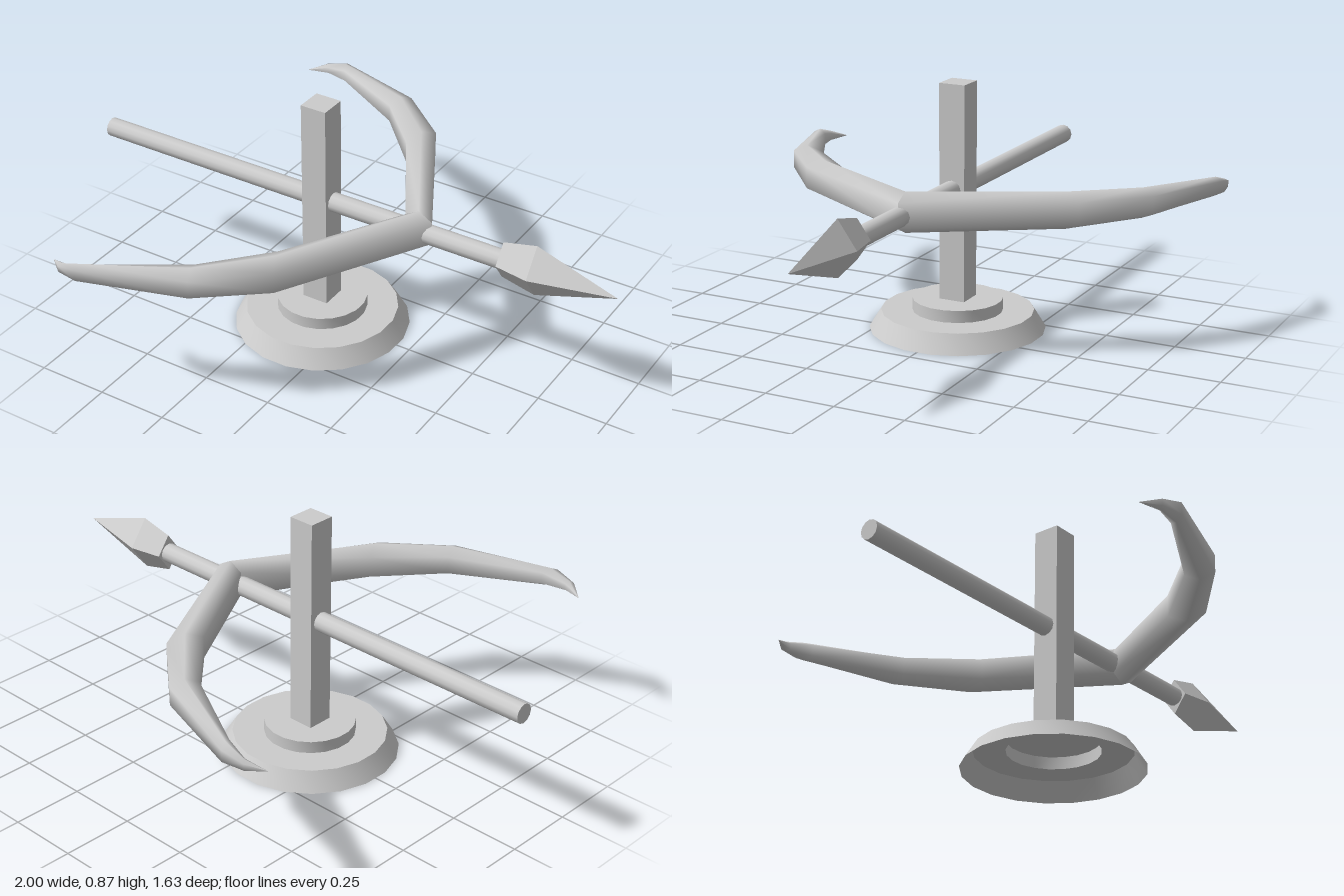
import * as THREE from 'three';
import { toCreasedNormals } from 'three/addons/utils/BufferGeometryUtils.js';

const POST_X = -0.105;
const SHAFT_Y = 0.502;

// One bow arm: hexagonal section lofted between outer and inner edge points.
// Each station: outer x, outer z, inner x, inner z, low y, high y
const ARM = [
  [0.325, 0, 0.225, 0, 0.438, 0.578],
  [0.045, 0.513, -0.01, 0.4, 0.446, 0.572],
  [-0.16, 0.69, -0.2, 0.6, 0.458, 0.562],
  [-0.515, 0.813, -0.49, 0.755, 0.473, 0.54],
  [-0.595, 0.8, -0.575, 0.775, 0.478, 0.515],
  [-0.65, 0.755, -0.65, 0.755, 0.486, 0.488],
];
const SECTION = [[1, -0.6], [1, 0.6], [0, 1], [-1, 0.6], [-1, -0.6], [0, -1]];

function armGeometry(side) {
  const pos = [], idx = [], n = SECTION.length;
  for (const [ox, oz, ix, iz, lo, hi] of ARM) {
    for (const [u, v] of SECTION) {
      const t = (u + 1) / 2;
      pos.push(ix + (ox - ix) * t, (lo + hi) / 2 + v * (hi - lo) / 2, side * (iz + (oz - iz) * t));
    }
  }
  for (let i = 0; i < ARM.length - 1; i++) {
    for (let j = 0; j < n; j++) {
      const k = (j + 1) % n;
      const a = i * n + j, b = i * n + k, c = b + n, d = a + n;
      if (side > 0) idx.push(a, b, c, a, c, d);
      else idx.push(a, c, b, a, d, c);
    }
  }
  const g = new THREE.BufferGeometry();
  g.setAttribute('position', new THREE.Float32BufferAttribute(pos, 3));
  g.setIndex(idx);
  g.computeVertexNormals();
  return g;
}

const profile = (pts) => pts.map(([x, y]) => new THREE.Vector2(x, y));

export function createModel() {
  const group = new THREE.Group();
  const smooth = new THREE.MeshStandardMaterial({ color: 0xcccccc });
  const flat = new THREE.MeshStandardMaterial({ color: 0xcccccc, flatShading: true });
  const shell = new THREE.MeshStandardMaterial({ color: 0xcccccc, side: THREE.DoubleSide });

  const add = (name, geometry, material) => {
    const mesh = new THREE.Mesh(geometry, material);
    mesh.name = name;
    group.add(mesh);
    return mesh;
  };

  // Stepped round base, hollow and open underneath
  const base = new THREE.LatheGeometry(
    profile([[0.308, 0], [0.267, 0.065], [0.158, 0.065], [0.158, 0.108], [0, 0.108]]),
    20, Math.PI / 20);
  add('base', toCreasedNormals(base, 0.6), shell).position.x = POST_X;

  // Square upright post
  add('post', new THREE.BoxGeometry(0.095, 0.762, 0.095), flat).position.set(POST_X, 0.489, 0);

  // Horizontal arrow shaft through the post
  const shaft = new THREE.CylinderGeometry(0.034, 0.034, 1.6, 12);
  shaft.rotateZ(-Math.PI / 2);
  add('arrowShaft', shaft, smooth).position.set(-0.2, SHAFT_Y, 0);

  // Four-sided arrowhead, flattened sideways
  const head = new THREE.LatheGeometry(
    profile([[0, 0.59], [0.067, 0.59], [0.095, 0.71], [0, 1]]), 4);
  head.rotateZ(-Math.PI / 2);
  head.scale(1, 1, 0.72);
  add('arrowHead', head, flat).position.y = SHAFT_Y;

  // Mirrored bow arms meeting at the shaft
  add('leftFacingBowArm', armGeometry(1), smooth).name = 'frontBowArm';
  add('backBowArm', armGeometry(-1), smooth);

  return group;
}
